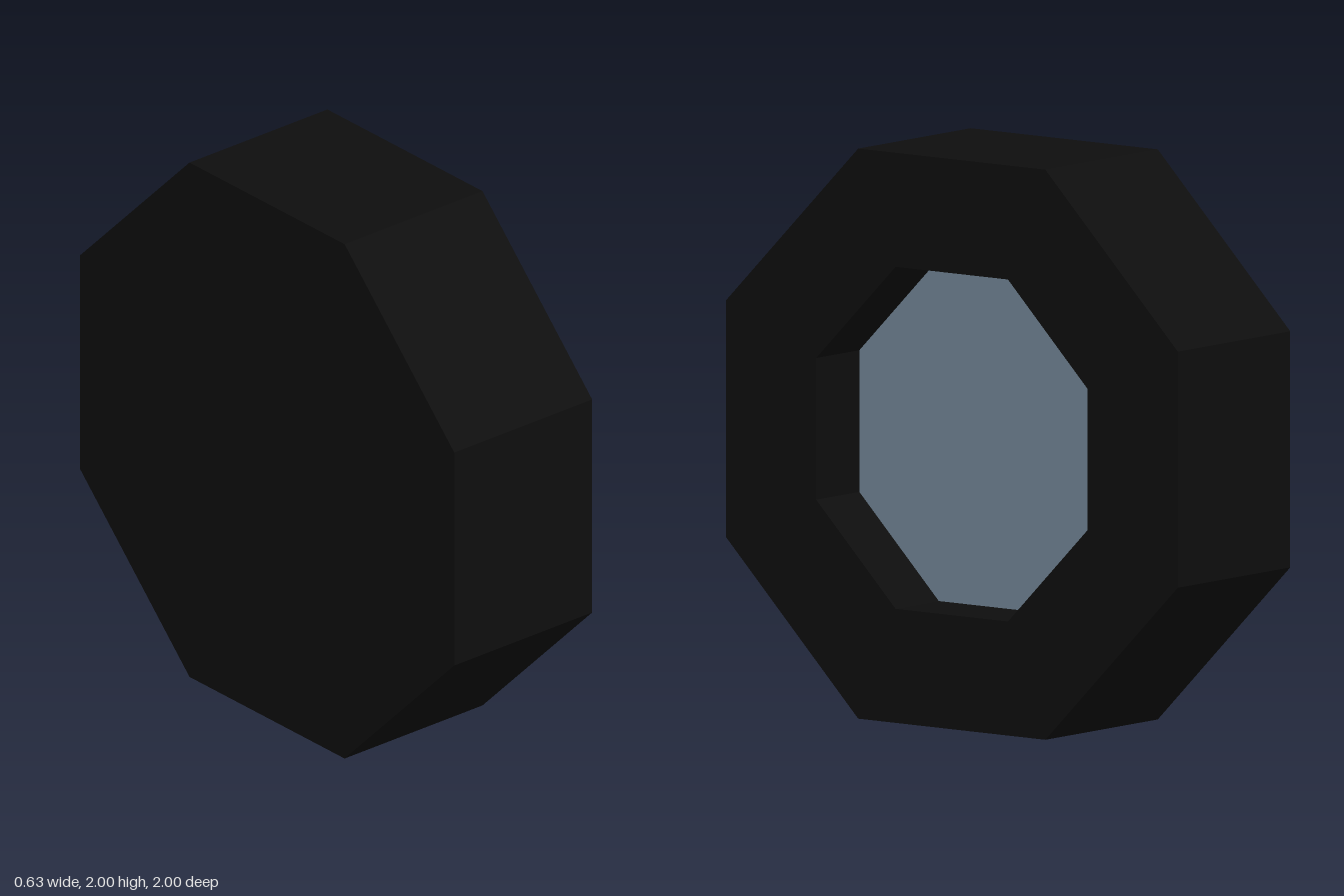
import * as THREE from 'three';

export function createModel() {
  const group = new THREE.Group();
  group.name = 'wheel';

  const rubber = new THREE.MeshStandardMaterial({ color: 0x0e0e0e, flatShading: true });
  rubber.name = 'black rubber';
  const metal = new THREE.MeshStandardMaterial({ color: 0x758899, flatShading: true });
  metal.name = 'blue grey metal';

  const sides = 8;
  const halfWidth = 0.315;
  const hubX = 0.073;
  const toCorner = 1 / Math.cos(Math.PI / sides); // flat distance to corner radius
  const outer = 1 * toCorner;
  const inner = 0.6 * toCorner;

  // Tyre: closed back, tread, front rim and recess wall, turned about the axle
  const profile = [
    [0, -halfWidth], [outer, -halfWidth], [outer, halfWidth], [inner, halfWidth], [inner, hubX],
  ].map(([r, a]) => new THREE.Vector2(r, a));
  const tyreGeometry = new THREE.LatheGeometry(profile, sides, Math.PI / sides);
  tyreGeometry.rotateZ(-Math.PI / 2);
  const tyre = new THREE.Mesh(tyreGeometry, rubber);
  tyre.name = 'tyre';

  // Hub: flat disc at the bottom of the recess, facing +x
  const hubGeometry = new THREE.CircleGeometry(inner, sides, Math.PI / sides);
  hubGeometry.rotateY(Math.PI / 2);
  const hub = new THREE.Mesh(hubGeometry, metal);
  hub.name = 'hub';
  hub.position.x = hubX;

  group.add(tyre, hub);
  group.position.y = 1;
  return group;
}
